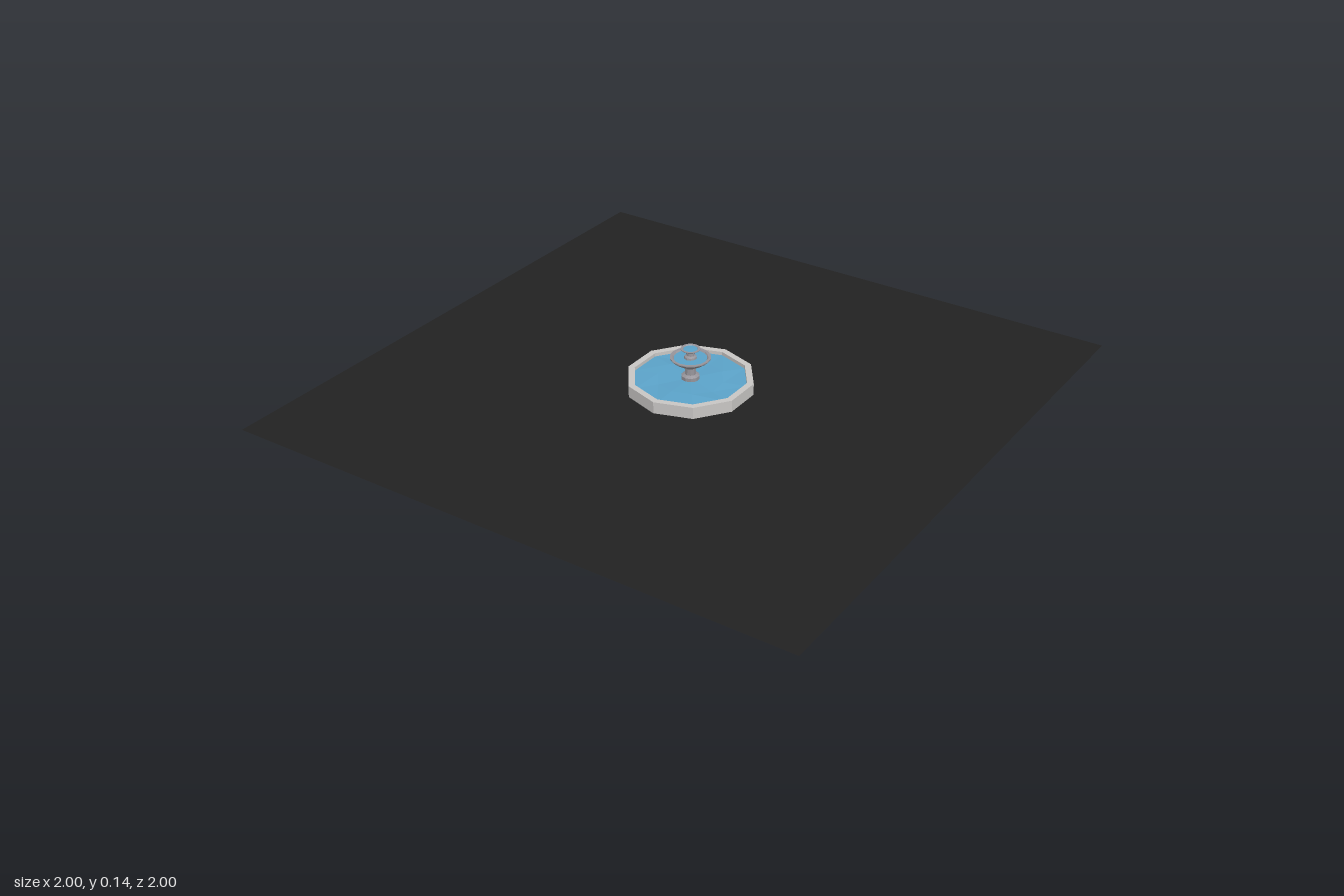
import * as THREE from 'three';

const SIDES = 10;

function material(name, color, extra = {}) {
  const m = new THREE.MeshStandardMaterial({ color, flatShading: true, ...extra });
  m.name = name;
  return m;
}

// Faceted turned part; profile points are [radius, height]
function turned(name, profile, mat, sides = SIDES) {
  const points = profile.map(([r, y]) => new THREE.Vector2(r, y));
  const mesh = new THREE.Mesh(new THREE.LatheGeometry(points, sides), mat);
  mesh.name = name;
  return mesh;
}

export function createModel() {
  const paving = material('dark paving', 0x222222, { side: THREE.DoubleSide });
  const stone = material('light stone', 0xc8c6c4);
  const carved = material('carved grey stone', 0x96949a);
  const water = material('blue water', 0x5ba3c9);

  const model = new THREE.Group();
  model.name = 'fountain';

  // Flat square of ground
  const ground = new THREE.Mesh(new THREE.PlaneGeometry(2, 2), paving);
  ground.rotation.x = -Math.PI / 2;
  ground.name = 'ground';
  model.add(ground);

  // Ten-sided basin wall
  model.add(turned('basinWall', [
    [0.21, 0], [0.21, 0.04], [0.188, 0.04], [0.188, 0.002],
  ], stone));

  // Pool surface with gentle ripples
  const pool = turned('poolWater', [[0.19, 0.028], [0.11, 0.03], [0, 0.03]], water);
  const pos = pool.geometry.attributes.position;
  for (let i = 0; i < pos.count; i++) {
    const x = pos.getX(i), z = pos.getZ(i), r = Math.hypot(x, z);
    if (r > 0.05 && r < 0.15) pos.setY(i, 0.03 + 0.003 * Math.sin(3 * Math.atan2(x, z) + 0.6));
  }
  model.add(pool);

  // Pedestal, with a foot and a flared neck
  model.add(turned('pedestal', [
    [0.03, 0.02], [0.03, 0.042], [0.019, 0.048], [0.018, 0.07], [0.026, 0.078], [0.026, 0.082], [0, 0.082],
  ], carved));

  // Lower bowl
  model.add(turned('lowerBowl', [
    [0.02, 0.079], [0.038, 0.083], [0.055, 0.094], [0.067, 0.105], [0.067, 0.108],
    [0.058, 0.108], [0.048, 0.097], [0, 0.096],
  ], carved, 16));
  model.add(turned('lowerBowlWater', [[0.056, 0.104], [0, 0.104]], water, 16));

  // Upper stem and small bowl
  model.add(turned('upperStem', [
    [0.022, 0.1], [0.02, 0.11], [0.013, 0.114], [0.012, 0.124], [0.017, 0.128],
  ], carved));
  model.add(turned('upperBowl', [
    [0.012, 0.124], [0.022, 0.129], [0.032, 0.136], [0.032, 0.138],
    [0.025, 0.138], [0.02, 0.132], [0, 0.131],
  ], carved, 16));
  model.add(turned('upperBowlWater', [[0.0245, 0.136], [0, 0.137]], water, 16));

  return model;
}
